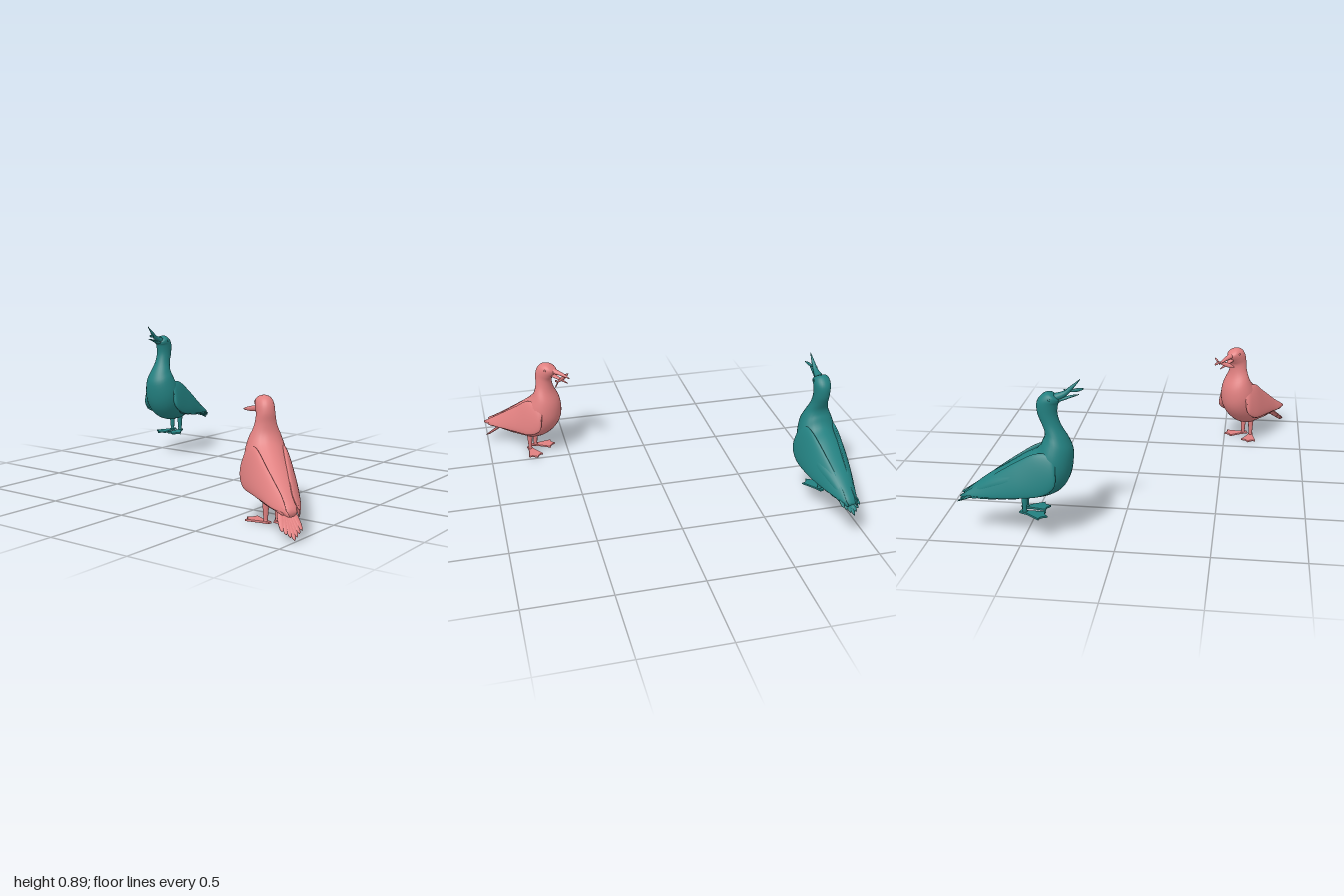
import * as THREE from 'three';

const SEG = 28;

// Smooth closed skin through elliptical sections.
// Row: [ax, ay, az, bx, by, bz, halfWidth]; a and b are opposite ends of the section.
function loft(rows, sub = 4) {
  const last = rows.length - 1;
  const at = (t) => {
    const i = Math.min(Math.floor(t), last - 1), u = t - i;
    const [p, q, r, s] = [-1, 0, 1, 2].map((k) => rows[Math.min(Math.max(i + k, 0), last)]);
    return q.map((v, k) => v + 0.5 * u * (r[k] - p[k]
      + u * (2 * p[k] - 5 * v + 4 * r[k] - s[k] + u * (3 * (v - r[k]) + s[k] - p[k]))));
  };
  const pos = [], idx = [], n = last * sub;
  for (let i = 0; i <= n; i++) {
    const [ax, ay, az, bx, by, bz, w] = at(i / sub);
    for (let j = 0; j < SEG; j++) {
      const c = Math.cos((j / SEG) * 2 * Math.PI) / 2, s = Math.sin((j / SEG) * 2 * Math.PI);
      pos.push((ax + bx) / 2 + (ax - bx) * c + w * s, (ay + by) / 2 + (ay - by) * c, (az + bz) / 2 + (az - bz) * c);
      if (i === n) continue;
      const k = i * SEG + j, m = i * SEG + ((j + 1) % SEG);
      idx.push(k, k + SEG, m, m, k + SEG, m + SEG);
    }
  }
  // End caps
  [rows[0], rows[last]].forEach(([ax, ay, az, bx, by, bz], e) => {
    const c = pos.length / 3, o = e * n * SEG;
    pos.push((ax + bx) / 2, (ay + by) / 2, (az + bz) / 2);
    for (let j = 0; j < SEG; j++) {
      const k = o + j, m = o + ((j + 1) % SEG);
      e ? idx.push(c, m, k) : idx.push(c, k, m);
    }
  });
  const g = new THREE.BufferGeometry();
  g.setAttribute('position', new THREE.Float32BufferAttribute(pos, 3));
  g.setIndex(idx);
  g.computeVertexNormals();
  return g;
}

// Flat plume stretched between two points
function feather(from, to, width, thick) {
  const a = new THREE.Vector3(...from), b = new THREE.Vector3(...to);
  const m = new THREE.Object3D();
  m.position.copy(a).lerp(b, 0.5);
  m.lookAt(b);
  m.scale.set(width, thick, a.distanceTo(b) / 2);
  m.updateMatrix();
  return new THREE.SphereGeometry(1, 12, 8).applyMatrix4(m.matrix);
}

// Webbed foot with three scalloped toes, heel at the origin
function footGeometry() {
  const s = new THREE.Shape();
  s.moveTo(-0.01, -0.025);
  s.lineTo(-0.016, 0.02);
  s.lineTo(-0.05, 0.095);
  s.quadraticCurveTo(-0.025, 0.09, -0.004, 0.125);
  s.quadraticCurveTo(0.015, 0.09, 0.04, 0.1);
  s.lineTo(0.016, 0.02);
  s.lineTo(0.01, -0.025);
  const g = new THREE.ExtrudeGeometry(s, { depth: 0.006, bevelEnabled: true, bevelSize: 0.003, bevelThickness: 0.003, bevelSegments: 2 });
  return g.rotateX(Math.PI / 2).translate(0, 0.01, 0);
}

// Small fish along z with a forked tail behind
function makeFish(material) {
  const g = new THREE.Group();
  g.name = 'fish';
  const body = [[-0.07, 0.004], [-0.04, 0.01], [0.01, 0.016], [0.05, 0.011], [0.075, 0.002]];
  g.add(new THREE.Mesh(loft(body.map(([z, h]) => [0, h, z, 0, -h, z, h * 0.6])), material));
  for (const s of [-1, 1]) g.add(new THREE.Mesh(feather([0, 0, -0.062], [0, 0.026 * s, -0.1], 0.003, 0.008), material));
  return g;
}

function makeBird(p) {
  const bird = new THREE.Group();
  bird.name = p.name;
  const material = new THREE.MeshStandardMaterial({ color: p.color });
  const add = (name, geometry) => {
    const m = new THREE.Mesh(geometry, material);
    m.name = name;
    bird.add(m);
    return m;
  };
  const profile = (rows) => loft(rows.map(([z1, y1, z2, y2, w]) => [0, y1, z1, 0, y2, z2, w]));

  add('bodyNeckAndHead', profile(p.body));
  add('upperBeak', profile(p.upperBeak));
  add('lowerBeak', profile(p.lowerBeak));

  // Tail fan
  const [rz, ry, tz, ty] = p.tail;
  for (let i = -3; i <= 3; i++) {
    const k = Math.abs(i);
    add('tailFeather', feather([i * 0.008, ry, rz], [i * 0.017, ty + k * 0.012, tz + k * 0.014], 0.017, 0.007));
  }

  for (const s of [-1, 1]) {
    const side = s > 0 ? 'left' : 'right';
    // Folded wing
    add(side + 'Wing', loft(p.wing.map(([x1, z1, y1, x2, z2, y2, w]) => [s * x1, y1, z1, s * x2, y2, z2, w]).reverse(), 5));
    // Flight feathers showing along the lower edge and at the tip
    for (let i = 2; i < 6; i++) {
      for (const u of [0, 0.5]) {
        const a = p.wing[i], b = p.wing[Math.min(i + 1, 6)];
        const mix = (k) => a[k] + (b[k] - a[k]) * u;
        const x = mix(3), z = mix(4), y = mix(5);
        add(side + 'FlightFeather', feather([s * x, y + 0.025, z + 0.05], [s * (x - 0.03), y - 0.012, z - 0.075], 0.008, 0.016));
      }
    }
    // Leg, ankle and foot
    const [lz, top, base] = p.leg;
    add(side + 'Leg', new THREE.CylinderGeometry(0.02, 0.01, top - base, 14).translate(s * 0.032, (top + base) / 2, lz));
    add(side + 'Ankle', new THREE.SphereGeometry(0.013, 12, 8).translate(s * 0.032, base + 0.014, lz));
    const foot = add(side + 'Foot', footGeometry());
    foot.position.set(s * 0.032, base, lz);
    foot.rotation.set(p.footPitch, s * p.splay, 0, 'YXZ');
    // Eye
    const [ez, ey] = p.eye;
    add(side + 'Eye', new THREE.SphereGeometry(0.007, 10, 8).translate(s * 0.043, ey, ez));
  }

  const fish = makeFish(material);
  fish.position.set(...p.fish.at);
  fish.rotation.set(...p.fish.turn);
  fish.scale.setScalar(p.fish.size);
  bird.add(fish);

  bird.position.set(...p.at);
  bird.rotation.y = p.yaw;
  return bird;
}

// Profile rows: [backZ, backY, frontZ, frontY, halfWidth]; wing rows: top x z y, bottom x z y, half thickness
const tealBird = {
  name: 'tallBird', color: 0x238080, at: [-0.862, 0, -0.45], yaw: 0.07,
  body: [[-0.37, 0.245, -0.36, 0.205, 0.03], [-0.25, 0.34, -0.22, 0.25, 0.07], [-0.125, 0.415, -0.13, 0.25, 0.1],
    [-0.04, 0.47, -0.03, 0.232, 0.115], [0.02, 0.5, 0.07, 0.24, 0.118], [0.045, 0.525, 0.155, 0.285, 0.118],
    [0.06, 0.555, 0.205, 0.37, 0.11], [0.07, 0.58, 0.22, 0.485, 0.09], [0.07, 0.61, 0.2, 0.555, 0.068],
    [0.055, 0.65, 0.16, 0.63, 0.05], [0.037, 0.7, 0.14, 0.695, 0.046], [0.034, 0.76, 0.145, 0.75, 0.048],
    [0.06, 0.8, 0.152, 0.76, 0.048], [0.1, 0.817, 0.155, 0.77, 0.04], [0.15, 0.787, 0.158, 0.765, 0.015]],
  upperBeak: [[0.125, 0.808, 0.135, 0.765, 0.026], [0.175, 0.822, 0.185, 0.793, 0.016], [0.22, 0.856, 0.225, 0.836, 0.009], [0.262, 0.888, 0.262, 0.884, 0.002]],
  lowerBeak: [[0.13, 0.785, 0.13, 0.755, 0.022], [0.175, 0.79, 0.175, 0.772, 0.014], [0.215, 0.8, 0.215, 0.787, 0.009], [0.255, 0.806, 0.255, 0.802, 0.002]],
  wing: [[0.1, 0.135, 0.46, 0.115, 0.135, 0.42, 0.006], [0.085, 0.1, 0.505, 0.13, 0.13, 0.34, 0.02],
    [0.075, 0.02, 0.5, 0.135, 0.06, 0.29, 0.022], [0.06, -0.08, 0.445, 0.125, -0.06, 0.27, 0.022],
    [0.045, -0.18, 0.38, 0.1, -0.17, 0.255, 0.018], [0.03, -0.28, 0.31, 0.07, -0.27, 0.245, 0.012],
    [0.03, -0.36, 0.255, 0.04, -0.36, 0.24, 0.004]],
  tail: [-0.26, 0.275, -0.415, 0.185], leg: [-0.045, 0.27, 0.14], splay: 0.25, footPitch: 0.05,
  eye: [0.105, 0.785], fish: { at: [0.01, 0.823, 0.235], turn: [-0.1, 0.3, 0], size: 0.6 },
};

const coralBird = {
  name: 'shortBird', color: 0xe08080, at: [0.7, 0, 0.633], yaw: Math.atan2(-0.78, -0.62),
  body: [[-0.33, 0.15, -0.33, 0.11, 0.03], [-0.25, 0.215, -0.22, 0.105, 0.07], [-0.14, 0.295, -0.11, 0.1, 0.1],
    [-0.06, 0.355, 0.02, 0.105, 0.113], [-0.005, 0.4, 0.12, 0.165, 0.117], [0.02, 0.43, 0.18, 0.255, 0.11],
    [0.035, 0.465, 0.185, 0.365, 0.09], [0.04, 0.51, 0.148, 0.46, 0.062], [0.038, 0.56, 0.14, 0.525, 0.051],
    [0.05, 0.605, 0.155, 0.555, 0.05], [0.08, 0.636, 0.17, 0.575, 0.047], [0.13, 0.642, 0.178, 0.59, 0.036],
    [0.17, 0.618, 0.18, 0.6, 0.015]],
  upperBeak: [[0.15, 0.625, 0.15, 0.585, 0.026], [0.195, 0.608, 0.195, 0.58, 0.016], [0.24, 0.593, 0.24, 0.573, 0.01], [0.28, 0.57, 0.28, 0.565, 0.002]],
  lowerBeak: [[0.15, 0.595, 0.15, 0.56, 0.022], [0.19, 0.568, 0.19, 0.55, 0.014], [0.23, 0.55, 0.23, 0.539, 0.009], [0.268, 0.535, 0.268, 0.531, 0.002]],
  wing: [[0.1, 0.125, 0.33, 0.115, 0.125, 0.28, 0.006], [0.085, 0.08, 0.385, 0.125, 0.115, 0.215, 0.02],
    [0.075, 0, 0.385, 0.13, 0.04, 0.175, 0.022], [0.06, -0.09, 0.325, 0.115, -0.07, 0.165, 0.022],
    [0.045, -0.18, 0.265, 0.095, -0.17, 0.155, 0.018], [0.03, -0.27, 0.205, 0.07, -0.27, 0.14, 0.012],
    [0.03, -0.35, 0.155, 0.04, -0.35, 0.14, 0.004]],
  tail: [-0.22, 0.15, -0.395, 0.01], leg: [-0.025, 0.14, 0], splay: 0.6, footPitch: 0,
  eye: [0.13, 0.61], fish: { at: [0.01, 0.557, 0.225], turn: [0, Math.PI / 2, 0], size: 0.95 },
};

export function createModel() {
  const model = new THREE.Group();
  model.name = 'pairOfSeabirds';
  model.add(makeBird(tealBird), makeBird(coralBird));
  return model;
}
